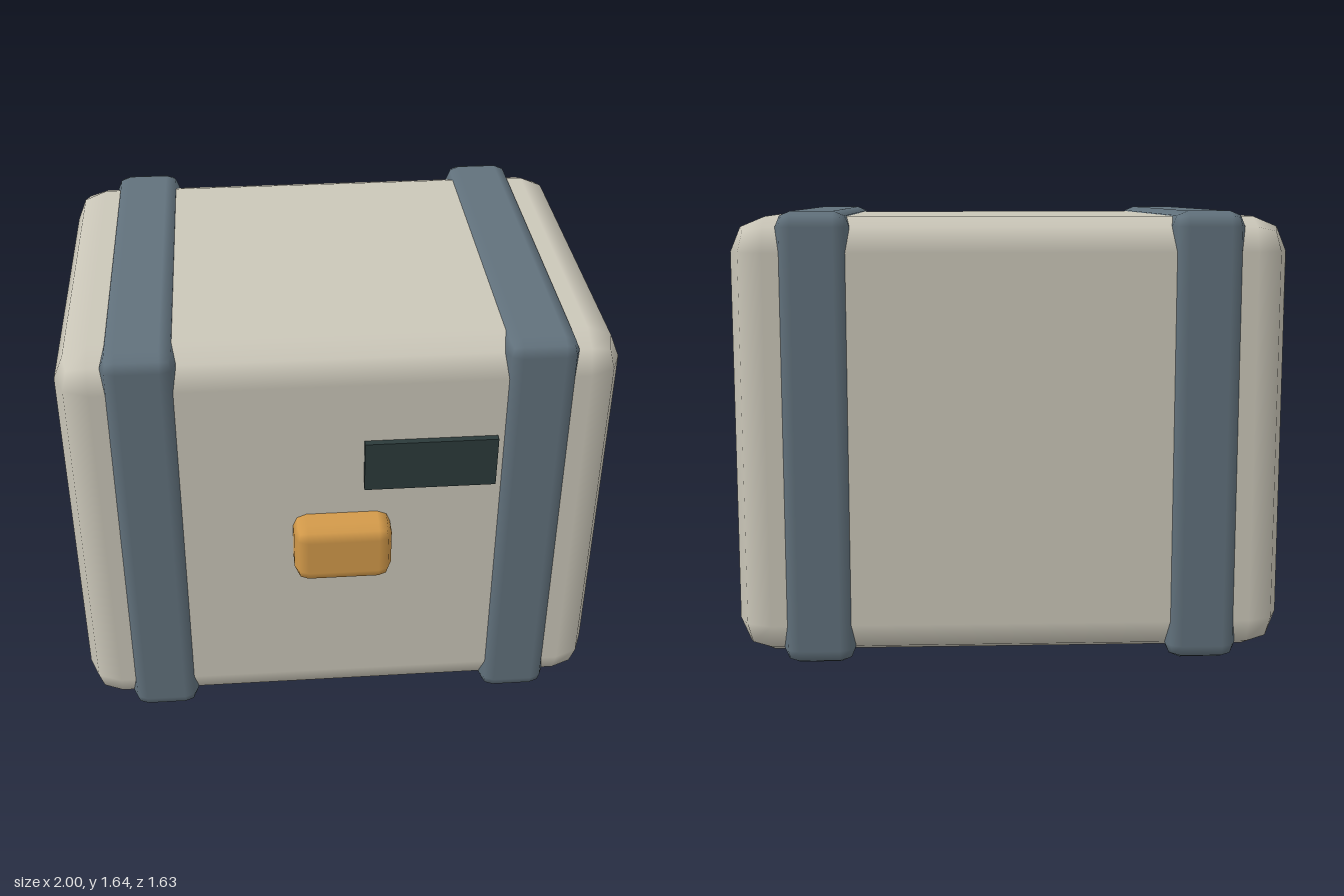
import * as THREE from 'three';
import { RoundedBoxGeometry } from 'three/addons/geometries/RoundedBoxGeometry.js';

function material(name, color) {
  const m = new THREE.MeshStandardMaterial({ color });
  m.name = name;
  return m;
}

export function createModel() {
  const group = new THREE.Group();
  group.name = 'crate';
  const shell = material('warm grey', 0xcbc7b9);
  const slate = material('slate blue', 0x61717c);
  const amber = material('amber', 0xd39a4a);
  const dark = material('dark green grey', 0x2b3a3a);

  const add = (name, geometry, mat, x, y, z) => {
    const mesh = new THREE.Mesh(geometry, mat);
    mesh.name = name;
    mesh.position.set(x, y, z);
    group.add(mesh);
  };

  // Main box with soft bevelled edges
  add('body', new RoundedBoxGeometry(2, 1.6, 1.5, 1, 0.125), shell, 0, 0.82, -0.05);

  // Two bands wrapped around the box
  for (const side of [-1, 1]) {
    add(side > 0 ? 'leftBand' : 'rightBand',
      new RoundedBoxGeometry(0.26, 1.64, 1.54, 1, 0.055), slate, side * 0.7, 0.82, -0.05);
  }

  // Front latch and label plate
  add('latch', new RoundedBoxGeometry(0.36, 0.24, 0.2, 1, 0.05), amber, 0, 0.82, 0.715);
  add('labelPlate', new THREE.BoxGeometry(0.48, 0.2, 0.025), dark, 0.32, 1.16, 0.715);

  return group;
}
